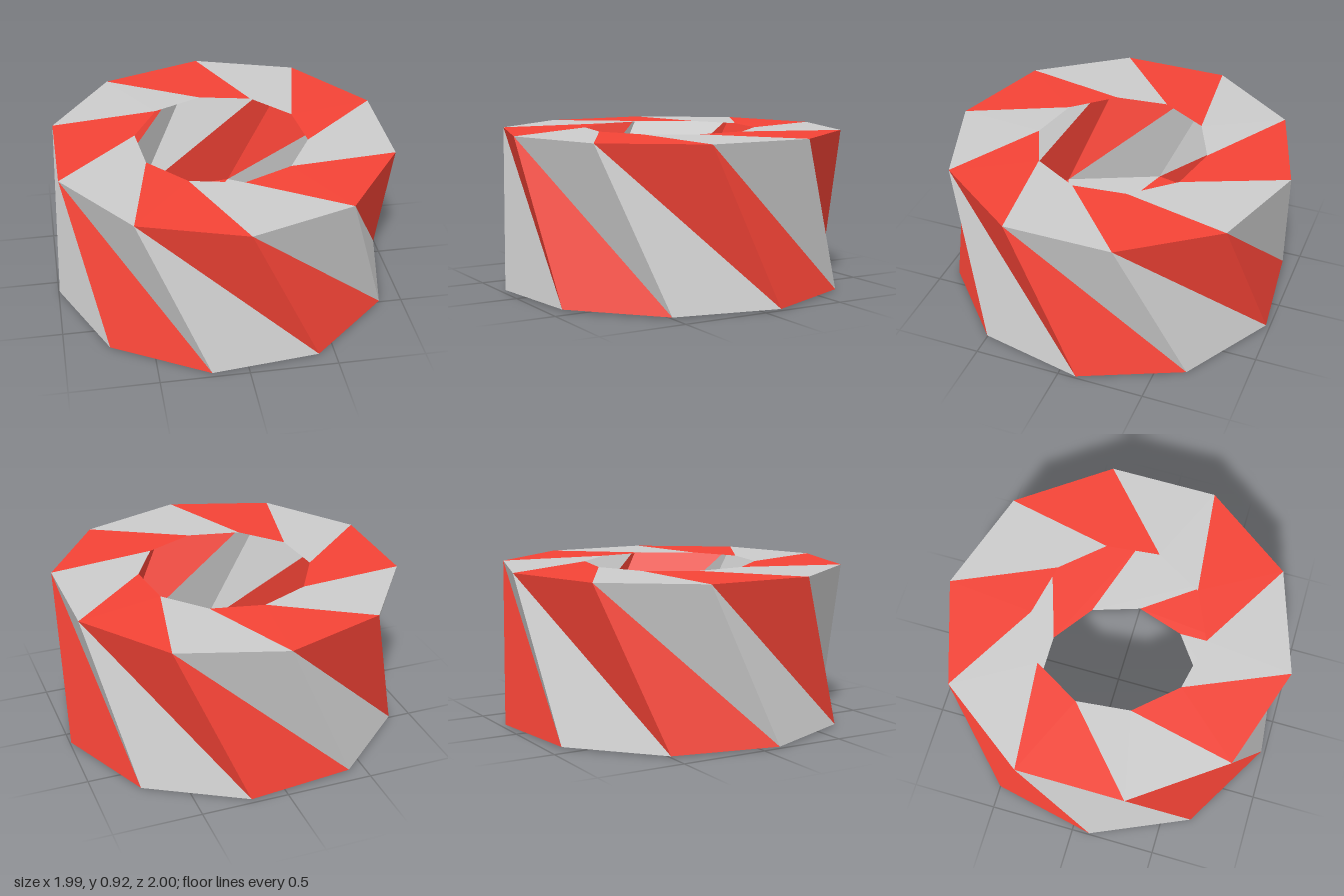
import * as THREE from 'three';

const SIDES = 10, STEP = 36;
const OUTER = 1, INNER = 0.5;

// point on a circle; angle in degrees from +z towards +x
function point(radius, y, degrees) {
  const a = THREE.MathUtils.degToRad(degrees);
  return [radius * Math.sin(a), y, radius * Math.cos(a)];
}

export function createModel() {
  const group = new THREE.Group();
  const materials = [0xcccccc, 0xf44336].map((color) =>
    new THREE.MeshStandardMaterial({ color, flatShading: true, side: THREE.DoubleSide }));

  // corners of the four decagons
  const top = (a) => point(OUTER, 0.912, a);
  const topInner = (a) => point(INNER, 0.92, a);
  const bottom = (a) => point(OUTER, 0.008, a);
  const bottomInner = (a) => point(INNER, 0, a);

  // each part is a ring of faces in alternating grey and red
  function addPart(name, facesAt) {
    const part = new THREE.Group();
    part.name = name;
    const positions = [[], []];
    for (let k = 0; k < SIDES; k++) {
      for (const [color, corners] of facesAt(k * STEP, k % 2)) {
        for (let i = 2; i < corners.length; i++) {
          positions[color].push(...corners[0], ...corners[i - 1], ...corners[i]);
        }
      }
    }
    positions.forEach((list, color) => {
      const geometry = new THREE.BufferGeometry();
      geometry.setAttribute('position', new THREE.Float32BufferAttribute(list, 3));
      geometry.computeVertexNormals();
      const mesh = new THREE.Mesh(geometry, materials[color]);
      mesh.name = name + (color ? 'Red' : 'Grey');
      part.add(mesh);
    });
    group.add(part);
  }

  // twisted outer wall of slanting triangles
  addPart('twistedWall', (a, odd) => [
    [1 - odd, [top(a), bottom(a + 24), bottom(a + 60)]],
    [odd, [top(a), bottom(a + 60), top(a + 36)]],
  ]);

  // swirling top ring around the open hole
  addPart('topRing', (a, odd) => [
    [odd, [top(a), top(a + 36), topInner(a + 6), topInner(a - 30)]],
  ]);

  // swirling bottom ring, turned the other way
  addPart('bottomRing', (a, odd) => [
    [1 - odd, [bottom(a + 24), bottomInner(a + 54), bottomInner(a + 90), bottom(a + 60)]],
  ]);

  return group;
}
